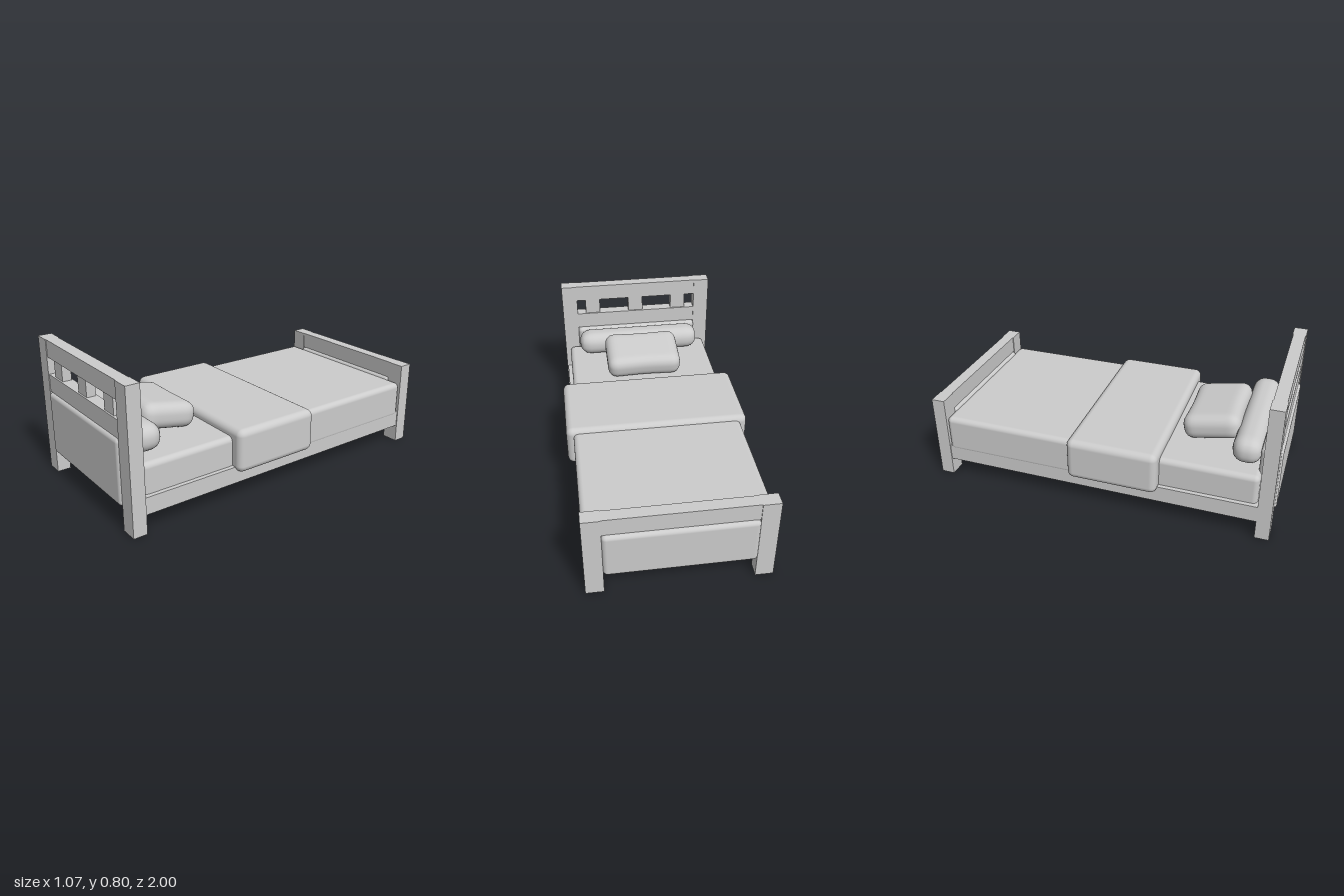
import * as THREE from 'three';
import { mergeVertices } from 'three/addons/utils/BufferGeometryUtils.js';
import { RoundedBoxGeometry } from 'three/addons/geometries/RoundedBoxGeometry.js';

export function createModel() {
  const bed = new THREE.Group();
  bed.name = 'bed';
  const grey = new THREE.MeshStandardMaterial({ color: 0xcccccc });
  grey.name = 'plain grey';

  const add = (name, geometry, x, y, z) => {
    const mesh = new THREE.Mesh(geometry, grey);
    mesh.name = name;
    mesh.position.set(x, y, z);
    bed.add(mesh);
    return mesh;
  };
  // Boxes are given by their lower and upper limits on each axis
  const span = ([x0, x1], [y0, y1], [z0, z1]) => ({
    size: [x1 - x0, y1 - y0, z1 - z0],
    centre: [(x0 + x1) / 2, (y0 + y1) / 2, (z0 + z1) / 2],
  });
  const box = (name, xs, ys, zs) => {
    const s = span(xs, ys, zs);
    return add(name, new THREE.BoxGeometry(...s.size), ...s.centre);
  };
  const softBox = (name, xs, ys, zs, radius) => {
    const s = span(xs, ys, zs);
    return add(name, new RoundedBoxGeometry(...s.size, 3, radius), ...s.centre);
  };

  // Evenly divided cushion with round edges, and sides drawn in by pinch
  const cushion = (w, h, d, radius, pinch) => {
    let geo = new THREE.BoxGeometry(w, h, d, 24, 12, 16);
    geo.deleteAttribute('uv');
    geo.deleteAttribute('normal');
    geo = mergeVertices(geo);
    const p = geo.attributes.position;
    const v = new THREE.Vector3();
    const inner = new THREE.Vector3();
    const limit = new THREE.Vector3(w / 2 - radius, h / 2 - radius, d / 2 - radius);
    const low = limit.clone().negate();
    for (let i = 0; i < p.count; i++) {
      v.fromBufferAttribute(p, i);
      inner.copy(v).clamp(low, limit);
      v.sub(inner).setLength(radius).add(inner);
      const across = Math.cos((v.x / w) * Math.PI);
      v.z *= 1 - pinch * across * across;
      p.setXYZ(i, v.x, v.y, v.z);
    }
    geo.computeVertexNormals();
    return geo;
  };

  // Posts and side rails, mirrored
  for (const side of [-1, 1]) {
    const label = side > 0 ? 'left' : 'right';
    const xs = (a, b) => (side > 0 ? [a, b] : [-b, -a]);
    box(label + 'HeadPost', xs(0.397, 0.495), [0, 0.8], [0.912, 0.99]);
    box(label + 'FootPost', xs(0.397, 0.495), [0, 0.5], [-0.982, -0.905]);
    box(label + 'SideRail', xs(0.435, 0.49), [0.105, 0.2], [-0.91, 0.92]);
  }

  // Headboard
  box('headTopRail', [-0.398, 0.398], [0.7, 0.8], [0.916, 0.986]);
  box('headLowerRail', [-0.398, 0.398], [0.5, 0.6], [0.916, 0.986]);
  for (const x of [-0.287, 0.003, 0.293]) {
    box('headSlat', [x - 0.048, x + 0.048], [0.6, 0.7], [0.925, 0.977]);
  }
  softBox('headPanel', [-0.399, 0.399], [0.13, 0.5], [0.885, 1], 0.025);

  // Footboard
  box('footRail', [-0.398, 0.398], [0.4, 0.5], [-0.978, -0.909]);
  softBox('footPanel', [-0.399, 0.399], [0.13, 0.402], [-1, -0.888], 0.025);

  // Base and bedding
  box('base', [-0.436, 0.436], [0.155, 0.2], [-0.905, 0.915]);
  softBox('mattress', [-0.465, 0.465], [0.165, 0.365], [-0.9, 0.905], 0.03);
  softBox('blanket', [-0.492, 0.492], [0.17, 0.39], [-0.907, -0.12], 0.03);
  softBox('throw', [-0.533, 0.533], [0.17, 0.415], [-0.15, 0.367], 0.038);

  // Pillows
  add('bolster', cushion(0.79, 0.148, 0.16, 0.068, 0), 0, 0.442, 0.81);
  const pillow = add('pillow', cushion(0.47, 0.145, 0.325, 0.06, 0.045), 0, 0.453, 0.587);
  pillow.rotation.x = -0.19;

  return bed;
}
